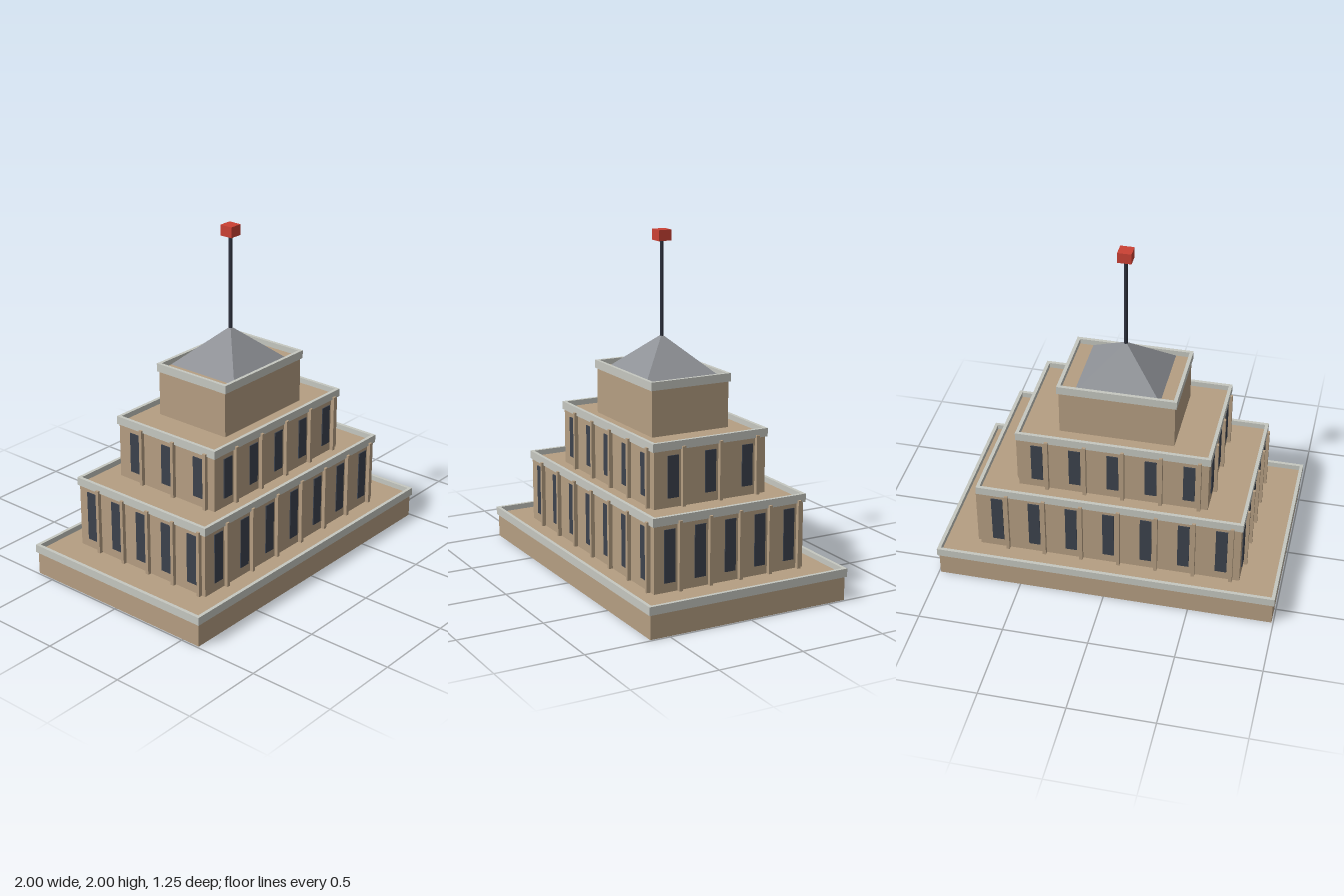
import * as THREE from 'three';

const material = (name, color) => {
  const m = new THREE.MeshStandardMaterial({ color });
  m.name = name;
  return m;
};

export function createModel() {
  const stone = material('tan stone', 0xb59e82);
  const trim = material('pale trim', 0xc5c7c0);
  const glass = material('dark glass', 0x3c424d);
  const slate = material('grey slate', 0x8e9196);
  const metal = material('dark metal', 0x2e323e);
  const red = material('red', 0xcb4134);

  const model = new THREE.Group();
  model.name = 'steppedBuilding';

  function add(parent, name, geometry, mat, x = 0, y = 0, z = 0) {
    const mesh = new THREE.Mesh(geometry, mat);
    mesh.name = name;
    mesh.position.set(x, y, z);
    parent.add(mesh);
    return mesh;
  }

  const box = (w, h, d) => new THREE.BoxGeometry(w, h, d);

  // Rectangular outline, as a shape or a hole
  function rectangle(Type, hx, hz) {
    return new Type([[-hx, -hz], [hx, -hz], [hx, hz], [-hx, hz]].map(p => new THREE.Vector2(...p)));
  }

  // Raised rim around a roof edge
  function parapetGeometry(hx, hz, height) {
    const shape = rectangle(THREE.Shape, hx + 0.01, hz + 0.01);
    shape.holes.push(rectangle(THREE.Path, hx - 0.01, hz - 0.01));
    return new THREE.ExtrudeGeometry(shape, { depth: height, bevelEnabled: false }).rotateX(-Math.PI / 2);
  }

  // One wall's windows, each with a pier to its right
  function addFacade(tier, name, width, distance, bays, t, angle) {
    const facade = new THREE.Group();
    facade.name = name;
    facade.rotation.y = angle;
    tier.add(facade);
    const pitch = width / bays;
    for (let i = 0; i < bays; i++) {
      const x = (i - (bays - 1) / 2) * pitch;
      add(facade, 'window', box(0.068, t.win[1] - t.win[0], 0.009), glass,
        x, (t.win[0] + t.win[1]) / 2, distance + 0.001);
      add(facade, 'pier', box(0.02, t.y1 - t.y0, 0.024), stone,
        x + 0.06, (t.y0 + t.y1) / 2, distance + 0.011);
    }
  }

  // Half sizes, bottom and roof heights, window span and bays (front, side)
  const tiers = [
    { name: 'baseTier', hx: 0.99, hz: 0.613, y0: 0, y1: 0.154 },
    { name: 'lowerTier', hx: 0.773, hz: 0.473, y0: 0.154, y1: 0.55, win: [0.208, 0.508], bays: [7, 5] },
    { name: 'middleTier', hx: 0.556, hz: 0.355, y0: 0.55, y1: 0.892, win: [0.604, 0.845], bays: [5, 3] },
    { name: 'upperTier', hx: 0.335, hz: 0.245, y0: 0.892, y1: 1.175 },
  ];

  for (const t of tiers) {
    const tier = new THREE.Group();
    tier.name = t.name;
    model.add(tier);
    add(tier, 'walls', box(2 * t.hx, t.y1 - t.y0, 2 * t.hz), stone, 0, (t.y0 + t.y1) / 2, 0);
    add(tier, 'parapet', parapetGeometry(t.hx, t.hz, 0.048), trim, 0, t.y1 - 0.016, 0);
    if (!t.bays) continue;
    ['frontFacade', 'leftFacade', 'backFacade', 'rightFacade'].forEach((name, i) => {
      const side = i % 2;
      addFacade(tier, name, 2 * (side ? t.hz : t.hx), side ? t.hx : t.hz, t.bays[side], t, i * Math.PI / 2);
    });
  }

  // Pyramid roof with crisp faces
  const pyramid = new THREE.ConeGeometry(Math.SQRT2, 0.22, 4)
    .rotateY(Math.PI / 4).scale(0.246, 1, 0.235).toNonIndexed();
  pyramid.computeVertexNormals();
  add(model, 'pyramidRoof', pyramid, slate, 0, 1.285, 0);

  // Mast with a beacon on top
  add(model, 'mast', new THREE.CylinderGeometry(0.011, 0.011, 0.57, 8), metal, 0, 1.665, 0);
  add(model, 'beacon', box(0.08, 0.062, 0.08), red, 0, 1.965, 0);

  return model;
}
